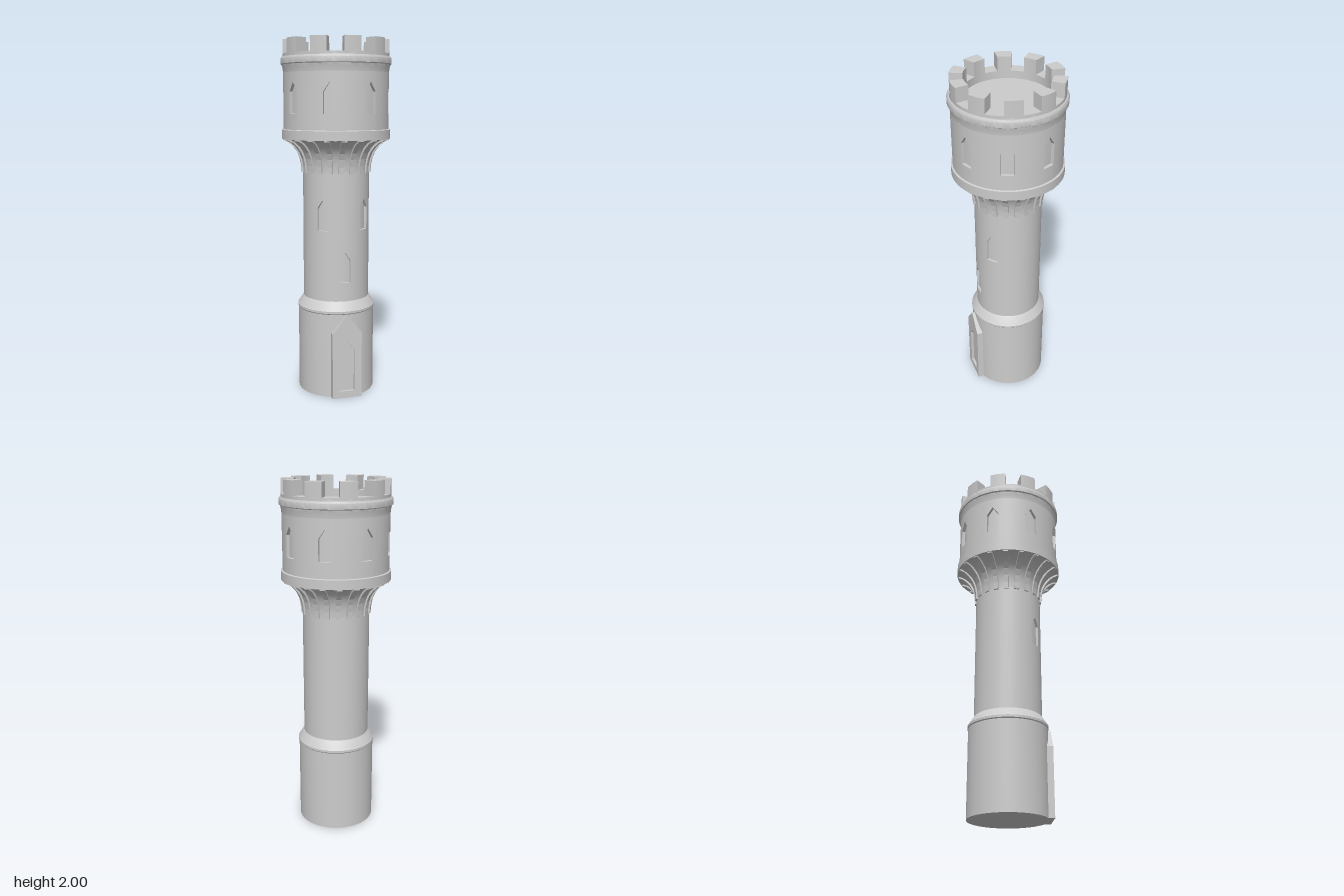
import * as THREE from 'three';
import { toCreasedNormals } from 'three/addons/utils/BufferGeometryUtils.js';

const RAD = Math.PI / 180;

// Surface of revolution with crisp edges, profile listed from bottom to top
function turned(points) {
  const profile = points.map(([r, y]) => new THREE.Vector2(r, y));
  return toCreasedNormals(new THREE.LatheGeometry(profile, 72), 0.5);
}

// Pointed arch outline
function arch(PathType, halfWidth, y0, shoulder, tip) {
  const p = new PathType();
  p.moveTo(-halfWidth, y0);
  p.lineTo(halfWidth, y0);
  p.lineTo(halfWidth, shoulder);
  p.lineTo(0, tip);
  p.lineTo(-halfWidth, shoulder);
  p.closePath();
  return p;
}

// Round wall with recessed pointed windows; angles run from +z towards +x
function windowedWall(radius, bottom, top, depth, windows) {
  const inner = radius - depth;
  const positions = [];
  const quad = (...corners) => {
    for (const i of [0, 1, 2, 0, 2, 3]) {
      const [r, t, y] = corners[i];
      positions.push(r * Math.sin(t), y, r * Math.cos(t));
    }
  };
  const panel = (r, t0, t1, y0, y1, y2 = y1) =>
    quad([r, t0, y0], [r, t1, y0], [r, t1, y2], [r, t0, y1]);

  const cuts = [];
  for (let i = 0; i <= 72; i++) cuts.push((i / 72) * 2 * Math.PI - Math.PI);
  for (const w of windows) cuts.push(w.angle - w.half, w.angle, w.angle + w.half);
  cuts.sort((a, b) => a - b);

  for (let i = 0; i < cuts.length - 1; i++) {
    const t0 = cuts[i], t1 = cuts[i + 1], mid = (t0 + t1) / 2;
    if (t1 - t0 < 1e-6) continue;
    const w = windows.find((o) => Math.abs(mid - o.angle) < o.half);
    if (!w) {
      panel(radius, t0, t1, bottom, top);
      continue;
    }
    const head = (t) => w.tip - ((w.tip - w.shoulder) * Math.abs(t - w.angle)) / w.half;
    const h0 = head(t0), h1 = head(t1);
    panel(radius, t0, t1, bottom, w.sill);
    quad([radius, t0, h0], [radius, t1, h1], [radius, t1, top], [radius, t0, top]);
    panel(inner, t0, t1, w.sill, h0, h1);
    quad([radius, t0, w.sill], [radius, t1, w.sill], [inner, t1, w.sill], [inner, t0, w.sill]);
    quad([inner, t0, h0], [inner, t1, h1], [radius, t1, h1], [radius, t0, h0]);
  }
  // Window jambs
  for (const w of windows) {
    const l = w.angle - w.half, r = w.angle + w.half;
    quad([radius, l, w.sill], [inner, l, w.sill], [inner, l, w.shoulder], [radius, l, w.shoulder]);
    quad([inner, r, w.sill], [radius, r, w.sill], [radius, r, w.shoulder], [inner, r, w.shoulder]);
  }
  const geo = new THREE.BufferGeometry();
  geo.setAttribute('position', new THREE.Float32BufferAttribute(positions, 3));
  return toCreasedNormals(geo, 0.5);
}

export function createModel() {
  const tower = new THREE.Group();
  tower.name = 'tower';
  const stone = new THREE.MeshStandardMaterial({ color: 0xcccccc });
  stone.name = 'stone';

  const add = (name, geometry, parent = tower) => {
    const mesh = new THREE.Mesh(geometry, stone);
    mesh.name = name;
    parent.add(mesh);
    return mesh;
  };

  // Base drum with a lip and sloped shoulder
  add('base', turned([
    [0, 0], [0.218, 0], [0.218, 0.485], [0.222, 0.49], [0.222, 0.503],
    [0.214, 0.514], [0.193, 0.548], [0.188, 0.553],
  ]));

  // Shaft with three windows
  const shaftWindow = (degrees, sill) => ({
    angle: degrees * RAD, half: 0.033 / 0.188, sill, shoulder: sill + 0.125, tip: sill + 0.172,
  });
  add('shaft', windowedWall(0.188, 0.553, 1.28, 0.014,
    [shaftWindow(-32, 0.953), shaftWindow(47, 0.953), shaftWindow(7, 0.66)]));

  // Flared neck and lower ring
  add('neck', turned([
    [0.188, 1.28], [0.19, 1.31], [0.196, 1.345], [0.208, 1.38], [0.228, 1.413],
    [0.255, 1.438], [0.285, 1.455], [0.305, 1.457], [0.305, 1.508], [0.295, 1.511],
  ]));

  // Corbel ribs around the neck
  const ribShape = new THREE.Shape([
    [0.18, 1.27], [0.196, 1.27], [0.199, 1.31], [0.207, 1.35], [0.222, 1.385],
    [0.245, 1.415], [0.27, 1.437], [0.3, 1.45], [0.3, 1.47], [0.27, 1.47], [0.18, 1.36],
  ].map(([r, y]) => new THREE.Vector2(r, y)));
  const ribGeometry = new THREE.ExtrudeGeometry(ribShape, { depth: 0.028, bevelEnabled: false });
  ribGeometry.translate(0, 0, -0.014);
  const ribs = new THREE.Group();
  ribs.name = 'corbelRibs';
  tower.add(ribs);
  for (let i = 0; i < 20; i++) add('corbelRib', ribGeometry, ribs).rotation.y = i * 18 * RAD;

  // Upper drum with eight windows
  const drumWindows = [];
  for (let i = -3; i <= 4; i++) {
    drumWindows.push({
      angle: (i * 45 - 15) * RAD, half: 0.035 / 0.295, sill: 1.597, shoulder: 1.715, tip: 1.765,
    });
  }
  add('upperDrum', windowedWall(0.295, 1.511, 1.82, 0.018, drumWindows));

  // Crown ring, parapet and sunken floor
  add('crown', turned([
    [0.295, 1.82], [0.298, 1.845], [0.303, 1.862], [0.309, 1.866], [0.309, 1.894],
    [0.303, 1.905], [0.296, 1.905], [0.296, 1.922], [0.225, 1.922], [0.225, 1.88], [0, 1.88],
  ]));

  // Ten merlons
  const merlonShape = new THREE.Shape();
  merlonShape.absarc(0, 0, 0.296, -90 * RAD, -72 * RAD, false);
  merlonShape.absarc(0, 0, 0.225, -72 * RAD, -90 * RAD, true);
  merlonShape.closePath();
  const merlonGeometry = new THREE.ExtrudeGeometry(merlonShape,
    { depth: 0.085, bevelEnabled: false, curveSegments: 4 });
  merlonGeometry.rotateX(-Math.PI / 2).translate(0, 1.915, 0);
  const merlons = new THREE.Group();
  merlons.name = 'merlons';
  tower.add(merlons);
  for (let i = 0; i < 10; i++) add('merlon', merlonGeometry, merlons).rotation.y = i * 36 * RAD;

  // Door: flat frame with a pointed recess
  const door = new THREE.Group();
  door.name = 'door';
  door.rotation.y = 7 * RAD;
  tower.add(door);
  const frameShape = arch(THREE.Shape, 0.085, 0, 0.38, 0.487);
  frameShape.holes.push(arch(THREE.Path, 0.043, 0.04, 0.28, 0.34));
  const frame = new THREE.ExtrudeGeometry(frameShape, { depth: 0.05, bevelEnabled: false });
  add('doorFrame', frame.translate(0, 0, 0.185), door);
  const panel = new THREE.ShapeGeometry(arch(THREE.Shape, 0.045, 0.038, 0.281, 0.343));
  add('doorPanel', panel.translate(0, 0, 0.2205), door);

  return tower;
}
